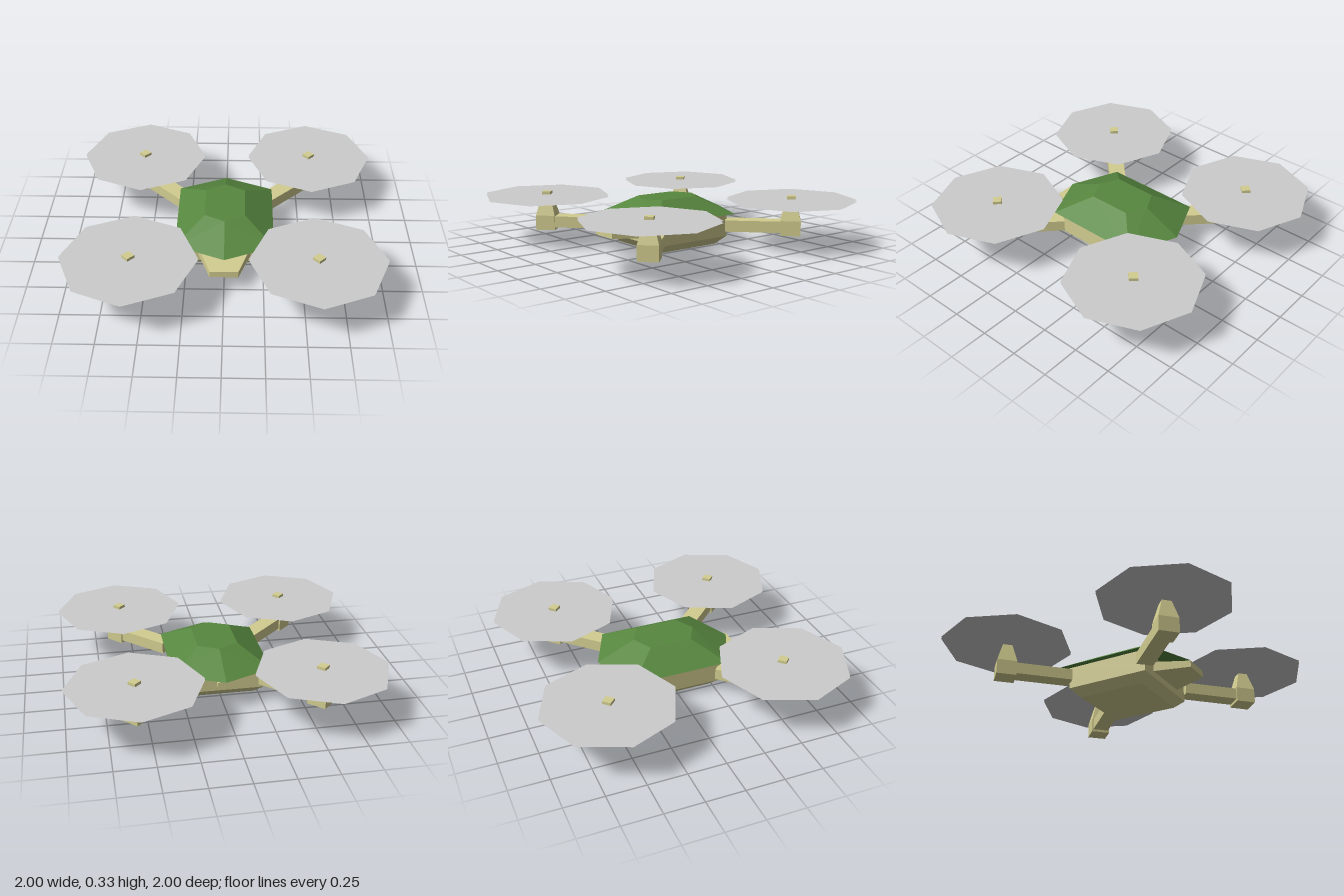
import * as THREE from 'three';
import { ConvexGeometry } from 'three/addons/geometries/ConvexGeometry.js';

const beige = new THREE.MeshStandardMaterial({ color: 0xd2cd90, flatShading: true });
const green = new THREE.MeshStandardMaterial({ color: 0x57873f, flatShading: true });
const grey = new THREE.MeshStandardMaterial({ color: 0xcccccc, flatShading: true, side: THREE.DoubleSide });

const v = (x, y, z) => new THREE.Vector3(x, y, z);
const rect = (w, y, d) => [v(w, y, d), v(-w, y, d), v(w, y, -d), v(-w, y, -d)];
const diamond = (r, y) => [v(r, y, 0), v(-r, y, 0), v(0, y, r), v(0, y, -r)];
// Stretched hexagon with its points on the z axis
const hexagon = (w, y, side, tip) => [...rect(w, y, side), v(0, y, tip), v(0, y, -tip)];
// Rectangle in a vertical plane
const panel = (w, y0, y1, z) => [v(w, y0, z), v(-w, y0, z), v(w, y1, z), v(-w, y1, z)];

function add(parent, name, geometry, material) {
  const mesh = new THREE.Mesh(geometry, material);
  mesh.name = name;
  parent.add(mesh);
  return mesh;
}

// Flat-sided solid spanning its cross-sections
const solid = (...sections) => new ConvexGeometry(sections.flat());

export function createModel() {
  const model = new THREE.Group();
  model.name = 'quadcopter';

  // Body with a bevelled belly, and the roof over it
  add(model, 'body', solid(rect(0.28, 0.055, 0.28), rect(0.28, 0.2, 0.28)), beige);
  add(model, 'belly', solid(rect(0.225, 0, 0.225), rect(0.28, 0.055, 0.28)), beige);
  add(model, 'roof', solid(hexagon(0.315, 0.203, 0.322, 0.457), hexagon(0.13, 0.317, 0.14, 0.208)), green);

  // Tapered nose in front, small port behind
  add(model, 'nose', solid(panel(0.17, 0.095, 0.16, 0.27), panel(0.09, 0.105, 0.148, 0.505)), beige);
  const port = add(model, 'rearPort', new THREE.CylinderGeometry(0.034, 0.034, 0.06, 6), beige);
  port.rotation.x = Math.PI / 2;
  port.position.set(0, 0.115, -0.295);

  // Four rotor units on the diagonals
  const centre = 0.577;
  const armStart = 0.275 * Math.SQRT2;
  const armEnd = 0.55 * Math.SQRT2;
  for (let i = 0; i < 4; i++) {
    const unit = new THREE.Group();
    unit.name = 'rotorUnit';
    unit.rotation.y = (i * Math.PI) / 2;
    model.add(unit);

    const arm = add(unit, 'arm', new THREE.BoxGeometry(0.11, 0.075, armEnd - armStart), beige);
    const mid = (armStart + armEnd) / 2 / Math.SQRT2;
    arm.position.set(mid, 0.132, mid);
    arm.rotation.y = Math.PI / 4;

    // Motor housing narrows to the shaft
    const housing = add(unit, 'motorHousing', solid(
      diamond(0.091, 0.077), diamond(0.091, 0.175), diamond(0.04, 0.31)), beige);
    const shaft = add(unit, 'shaft', solid(diamond(0.04, 0.3), diamond(0.04, 0.333)), beige);
    housing.position.set(centre, 0, centre);
    shaft.position.set(centre, 0, centre);

    // Thin rotor disc: upper and lower sheets
    for (const y of [0.301, 0.314]) {
      const disc = add(unit, 'rotorDisc', new THREE.CircleGeometry(0.423, 8), grey);
      disc.rotation.x = -Math.PI / 2;
      disc.position.set(centre, y, centre);
    }
  }
  return model;
}
